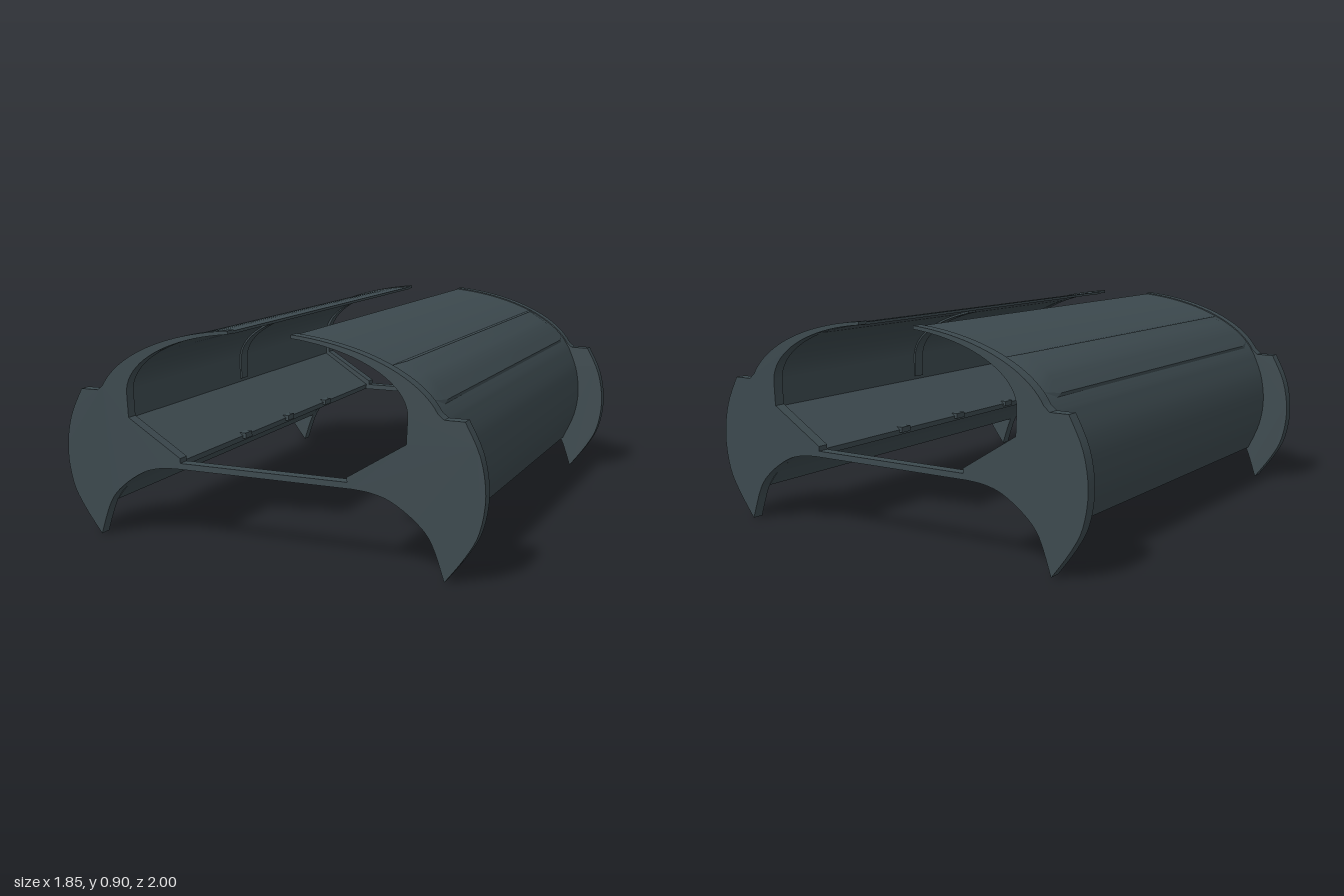
import * as THREE from 'three';
import { toCreasedNormals } from 'three/addons/utils/BufferGeometryUtils.js';
import { ConvexGeometry } from 'three/addons/geometries/ConvexGeometry.js';

const slate = new THREE.MeshStandardMaterial({ color: 0x3c494e });
slate.name = 'slateGrey';

const V = (x, y) => new THREE.Vector2(x, y);

// Smooth line through a few [x, y] points
const spline = (pts, n = 20) => new THREE.SplineCurve(pts.map(p => V(...p))).getPoints(n);

// Upper right part of an ellipse centred on x = 0, sampled evenly by angle from x0 to x1
function ellipse(cy, a, b, x0, x1, n = 20) {
  const t0 = Math.asin(x0 / a), t1 = Math.asin(x1 / a);
  return Array.from({ length: n + 1 }, (_, i) => {
    const t = t0 + (t1 - t0) * i / n;
    return V(a * Math.sin(t), cy + b * Math.cos(t));
  });
}

const flip = (pts, s) => pts.map(p => V(p.x * s, p.y));

// Outline extruded along z, centred on z
function extrude(name, pts, depth, z) {
  const geo = new THREE.ExtrudeGeometry(new THREE.Shape(pts), { depth, bevelEnabled: false });
  geo.translate(0, 0, z - depth / 2);
  const mesh = new THREE.Mesh(toCreasedNormals(geo, 0.45), slate);
  mesh.name = name;
  return mesh;
}

// Concave underside, from the bar out to the foot
const arch = [[0.39, 0.32], [0.47, 0.313], [0.553, 0.287], [0.65, 0.222], [0.715, 0.145]];

// End plate: outer edge and opening, right half from the top tip to the bar
function endPlateOutline() {
  const outer = [
    ...ellipse(0.55, 0.76, 0.355, 0.138, 0.735),
    V(0.76, 0.62),
    ...spline([[0.84, 0.62], [0.9, 0.495], [0.923, 0.35], [0.902, 0.21], [0.85, 0.11], [0.768, 0]]),
    ...spline([...arch, [0.768, 0]]).reverse().slice(1)
  ];
  const inner = [
    ...ellipse(0.62, 0.617, 0.272, 0.138, 0.617),
    V(0.612, 0.515), V(0.37, 0.365), V(0.37, 0.345)
  ];
  return [...outer, ...flip(outer, -1).reverse(), ...flip(inner, -1), ...[...inner].reverse()];
}

// Long side shell between the plates
function shellOutline() {
  return [
    ...ellipse(0.55, 0.755, 0.35, 0.138, 0.73),
    ...spline([[0.745, 0.615], [0.785, 0.51], [0.8, 0.39], [0.782, 0.27], [0.728, 0.145]]),
    ...spline(arch).reverse(),
    V(0.385, 0.345), V(0.63, 0.505),
    ...ellipse(0.62, 0.63, 0.269, 0.138, 0.63).reverse()
  ];
}

// Raised panel on the shoulder with sloping ends and sides
function raisedPanel(s) {
  const pts = [];
  const add = (list, z) => list.forEach(p => {
    pts.push(new THREE.Vector3(p.x * s, p.y, z), new THREE.Vector3(p.x * s, p.y, -z));
  });
  add(spline([[0.56, 0.805], [0.65, 0.748], [0.72, 0.668]], 8), 0.855);
  add([V(0.51, 0.782), ...ellipse(0.55, 0.755, 0.35, 0.53, 0.7, 6), V(0.72, 0.622)], 0.95);
  const mesh = new THREE.Mesh(toCreasedNormals(new ConvexGeometry(pts), 0.3), slate);
  mesh.name = 'raisedPanel';
  return mesh;
}

export function createModel() {
  const model = new THREE.Group();
  model.name = 'cradleFrame';

  const plate = endPlateOutline();
  model.add(extrude('frontPlate', plate, 0.05, 0.975), extrude('backPlate', plate, 0.05, -0.975));

  const shell = shellOutline();
  // Thin stiffening band inside each shell
  const band = [
    ...ellipse(0.62, 0.635, 0.272, 0.3, 0.635), V(0.635, 0.52), V(0.622, 0.52),
    ...ellipse(0.62, 0.622, 0.26, 0.3, 0.622).reverse()
  ];
  for (const s of [1, -1]) {
    const side = new THREE.Group();
    side.name = s > 0 ? 'leftSide' : 'rightSide';
    side.add(extrude('sideShell', flip(shell, s), 1.9, 0));
    side.add(extrude('innerBand', flip(band, s), 0.06, 0));
    side.add(raisedPanel(s));
    // Small lugs along the lower inner edge
    for (const z of [-0.42, 0, 0.42]) {
      const lug = new THREE.Mesh(new THREE.BoxGeometry(0.03, 0.025, 0.06), slate);
      lug.name = 'edgeLug';
      lug.position.set(s * 0.387, 0.345, z);
      side.add(lug);
    }
    model.add(side);
  }
  return model;
}
